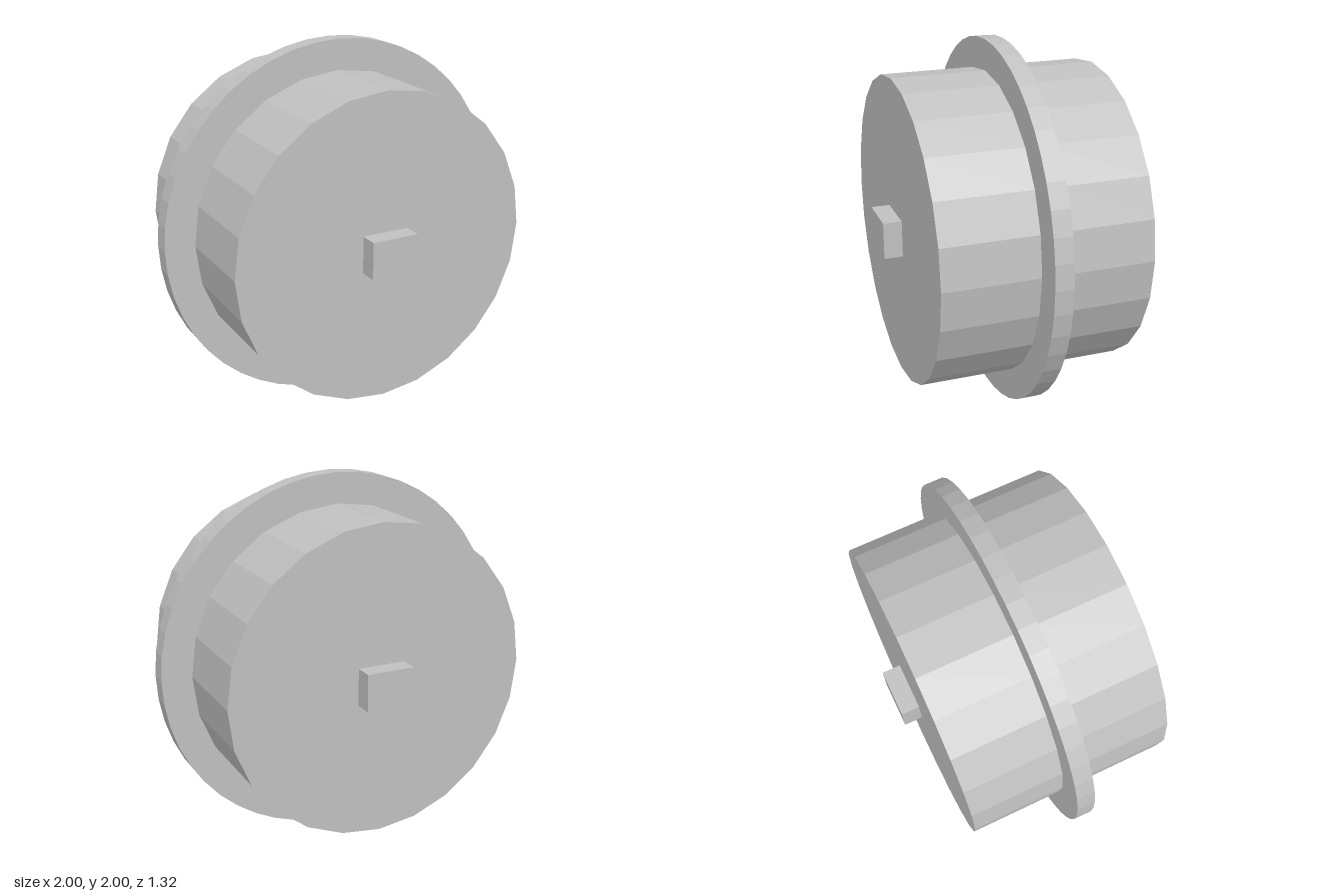
import * as THREE from 'three';

export function createModel() {
  const group = new THREE.Group();
  group.name = 'flangedDrum';

  const grey = new THREE.MeshStandardMaterial({ color: 0xc0c0c0 });
  grey.name = 'light grey';
  grey.flatShading = true;

  const add = (name, geometry, z = 0) => {
    const mesh = new THREE.Mesh(geometry, grey);
    mesh.name = name;
    mesh.position.set(0, 1, z);
    group.add(mesh);
  };

  // Cylinder lying along z
  const disc = (radius, depth, sides) =>
    new THREE.CylinderGeometry(radius, radius, depth, sides).rotateX(Math.PI / 2);

  // Thin central flange
  add('flange', disc(1, 0.1, 48));

  // Drum half and axle stub on each side of the flange
  for (const [side, s] of [['front', 1], ['back', -1]]) {
    add(side + 'Drum', disc(0.835, 0.51, 24), s * 0.305);
    add(side + 'AxleStub', new THREE.BoxGeometry(0.26, 0.2, 0.1), s * 0.61);
  }

  return group;
}
